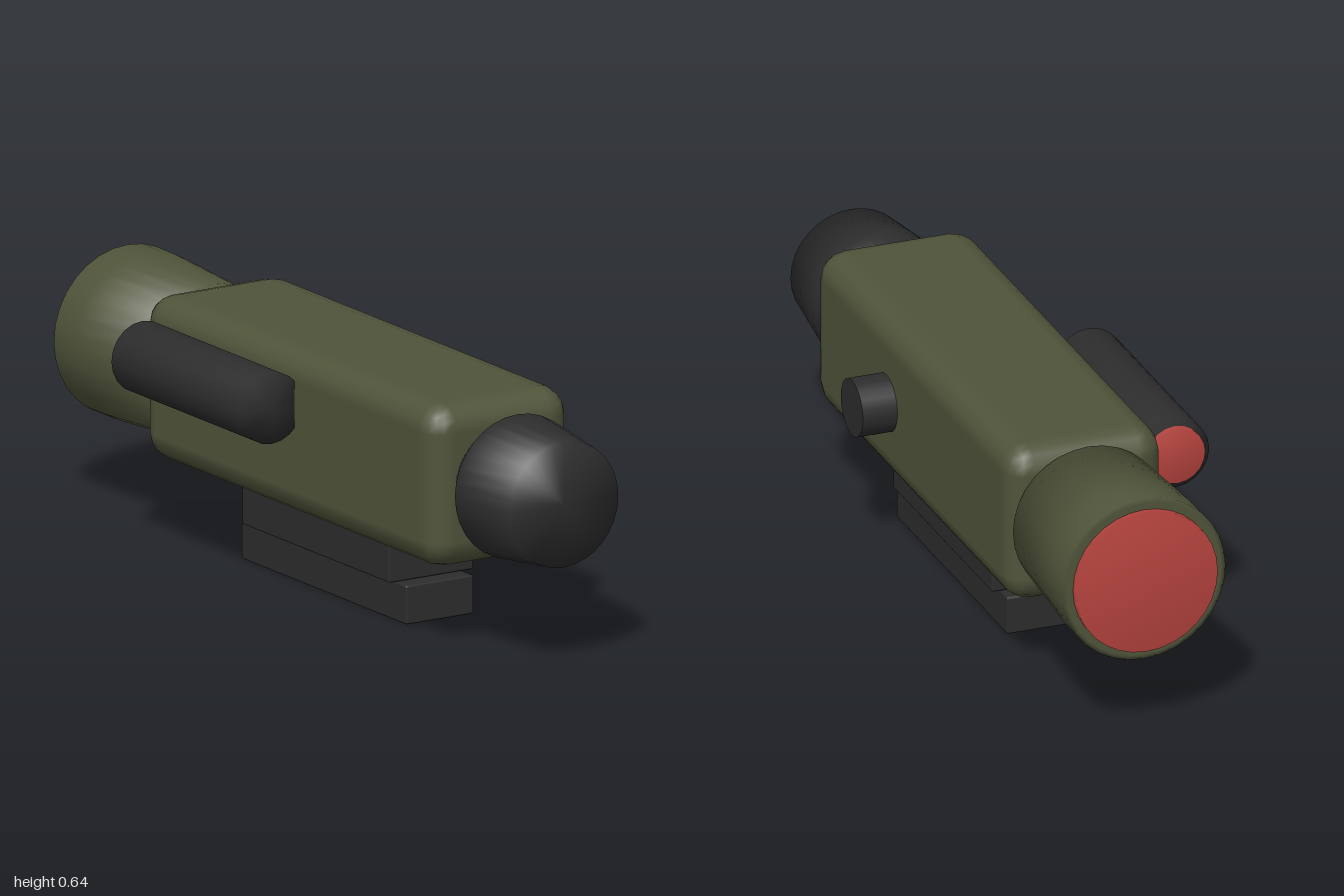
import * as THREE from 'three';
import { RoundedBoxGeometry } from 'three/addons/geometries/RoundedBoxGeometry.js';

const CX = 0.032; // optical axis
const CY = 0.42;

export function createModel() {
  const group = new THREE.Group();
  const mat = (name, color) => {
    const m = new THREE.MeshStandardMaterial({ color });
    m.name = name;
    return m;
  };
  const olive = mat('olive', 0x50543a);
  const black = mat('black', 0x2d2d2e);
  const red = mat('lens red', 0xb8443f);

  const add = (name, geometry, material, x, y, z) => {
    const mesh = new THREE.Mesh(geometry, material);
    mesh.name = name;
    mesh.position.set(x, y, z);
    group.add(mesh);
    return mesh;
  };

  // Closed turned part along z, profile given as [radius, z] from back to front
  const turned = (name, profile, sides, material, x = CX, y = CY) => {
    const pts = profile.map(([r, z]) => new THREE.Vector2(r, z));
    const geometry = new THREE.LatheGeometry(pts, sides).rotateX(Math.PI / 2);
    return add(name, geometry, material, x, y, 0);
  };

  // Housing
  add('body', new RoundedBoxGeometry(0.417, 0.418, 1.335, 2, 0.07), olive, CX, CY, 0.0625);

  // Eyepiece at the front
  turned('eyepiece', [[0, 0.68], [0.125, 0.7], [0.143, 0.73], [0.184, 0.79], [0.16, 1], [0, 1]], 32, black);

  // Flared objective and its lens at the back
  turned('objective', [[0, -0.98], [0.205, -0.98], [0.217, -0.978], [0.216, -0.89], [0.2, -0.605], [0, -0.6]], 32, olive);
  turned('objectiveLens', [[0, -1], [0.188, -1], [0.188, -0.97]], 32, red);

  // Side tube with a small lens
  turned('sideTube', [[0, -0.485], [0.091, -0.485], [0.091, 0.1], [0, 0.1]], 20, black, -0.244, 0.503);
  turned('sideTubeLens', [[0, -0.5], [0.075, -0.5], [0.075, -0.48]], 20, red, -0.244, 0.503);

  // Adjustment knob on the left side
  const knob = new THREE.CylinderGeometry(0.075, 0.075, 0.14, 20).rotateZ(-Math.PI / 2);
  add('knob', knob, black, 0.262, CY, 0.228);

  // Two-step mount underneath
  add('mountUpper', new RoundedBoxGeometry(0.249, 0.13, 0.67, 1, 0.006), black, CX, 0.166, 0.065);
  add('mountLower', new RoundedBoxGeometry(0.199, 0.1, 0.75, 1, 0.006), black, CX, 0.05, 0.065);

  return group;
}
